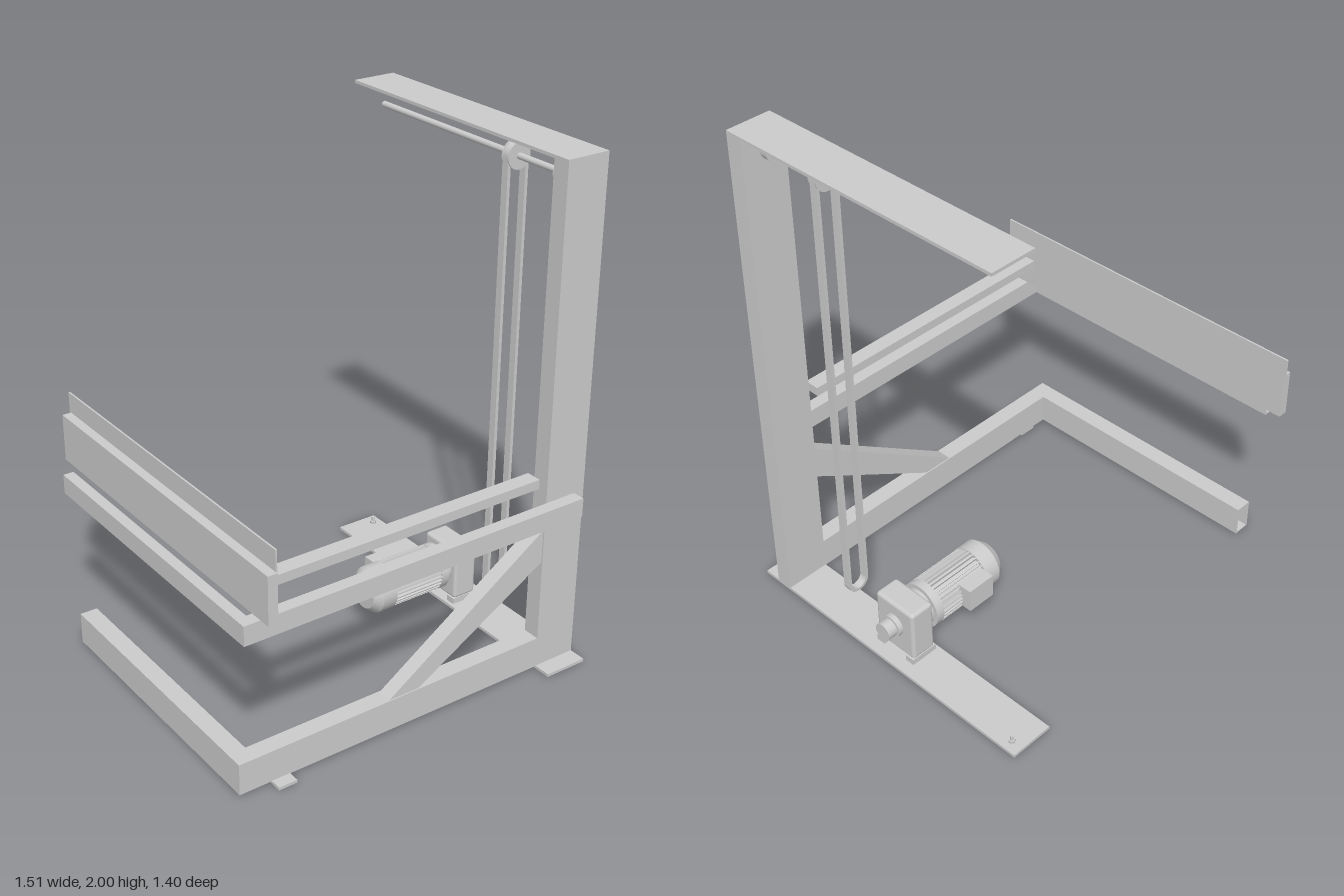
import * as THREE from 'three';
import { RoundedBoxGeometry } from 'three/addons/geometries/RoundedBoxGeometry.js';

export function createModel() {
  const model = new THREE.Group();
  const mat = new THREE.MeshStandardMaterial({ color: 0xcccccc });

  function add(name, geo, parent = model) {
    const m = new THREE.Mesh(geo, mat);
    m.name = name;
    parent.add(m);
    return m;
  }
  // box given by its limits on each axis
  function box(name, [x0, x1], [y0, y1], [z0, z1], parent) {
    const m = add(name, new THREE.BoxGeometry(x1 - x0, y1 - y0, z1 - z0), parent);
    m.position.set((x0 + x1) / 2, (y0 + y1) / 2, (z0 + z1) / 2);
    return m;
  }
  // rectangular hollow section running along z, open at its ends
  function hollowBeam(name, [x0, x1], [y0, y1], [z0, z1], t) {
    const rect = (C, i) => new C([
      new THREE.Vector2(x0 + i, y0 + i), new THREE.Vector2(x1 - i, y0 + i),
      new THREE.Vector2(x1 - i, y1 - i), new THREE.Vector2(x0 + i, y1 - i)]);
    const s = rect(THREE.Shape, 0);
    s.holes.push(rect(THREE.Path, t));
    const m = add(name, new THREE.ExtrudeGeometry(s, { depth: z1 - z0, bevelEnabled: false }));
    m.position.z = z0;
    return m;
  }
  // cylinder along x or z between two limits
  function rod(name, axis, r, a, b, [u, v], parent, sides = 32) {
    const g = new THREE.CylinderGeometry(r, r, b - a, sides);
    if (axis === 'x') g.rotateZ(Math.PI / 2); else g.rotateX(Math.PI / 2);
    const m = add(name, g, parent), c = (a + b) / 2;
    if (axis === 'x') m.position.set(c, u, v); else m.position.set(u, v, c);
    return m;
  }

  // column with base and top plates
  box('column', [0.57, 0.75], [0.012, 1.99], [0.53, 0.6]);
  box('basePlate', [0.57, 0.75], [0, 0.012], [-0.67, 0.67]);
  box('topPlate', [0.57, 0.75], [1.988, 2], [-0.59, 0.6]);
  const bolt = add('anchorBolt', new THREE.CylinderGeometry(0.006, 0.006, 0.03, 12));
  bolt.position.set(0.71, 0.026, -0.62);
  const nut = add('anchorNut', new THREE.CylinderGeometry(0.013, 0.013, 0.01, 6));
  nut.position.set(0.71, 0.017, -0.62);

  // lower frame
  box('lowerFrontBeam', [-0.755, 0.57], [0.01, 0.135], [0.53, 0.6]);
  hollowBeam('lowerSideBeam', [-0.755, -0.685], [0.01, 0.135], [-0.53, 0.53], 0.006);
  box('foot', [-0.625, -0.55], [0, 0.012], [0.53, 0.645]);

  // diagonal brace
  const braceShape = new THREE.Shape([[-0.12, 0.135], [0.01, 0.135], [0.57, 0.465], [0.57, 0.6]]
    .map(p => new THREE.Vector2(...p)));
  add('brace', new THREE.ExtrudeGeometry(braceShape, { depth: 0.06, bevelEnabled: false })).position.z = 0.535;

  // upper frame, rail and side panel
  box('upperFrontBeam', [-0.755, 0.705], [0.638, 0.715], [0.6, 0.65]);
  hollowBeam('upperSideBeam', [-0.755, -0.713], [0.638, 0.715], [-0.59, 0.6], 0.005);
  box('rail', [-0.655, 0.51], [0.803, 0.84], [0.56, 0.622]);
  box('sidePanel', [-0.693, -0.655], [0.718, 0.905], [-0.69, 0.7]);
  box('panelLip', [-0.657, -0.65], [0.9, 0.985], [-0.7, 0.69]);

  // overhead shaft, bearing and pulley
  const shaftX = 0.635, shaftY = 1.92;
  rod('shaft', 'z', 0.012, -0.49, 0.53, [shaftX, shaftY]);
  rod('bearingFlange', 'z', 0.042, 0.5, 0.53, [shaftX, shaftY]);
  rod('bearingHub', 'z', 0.022, 0.485, 0.5, [shaftX, shaftY]);
  rod('pulley', 'z', 0.039, 0.252, 0.28, [shaftX, shaftY]);
  for (const z of [0.248, 0.28]) rod('pulleyRim', 'z', 0.05, z, z + 0.005, [shaftX, shaftY]);

  // endless belt
  const lowY = 0.155;
  const loop = (C, r) => {
    const s = new C();
    s.absarc(shaftX, shaftY, r, 0, Math.PI, false);
    s.absarc(shaftX, lowY, r, Math.PI, 2 * Math.PI, false);
    s.closePath();
    return s;
  };
  const beltShape = loop(THREE.Shape, 0.047);
  beltShape.holes.push(loop(THREE.Path, 0.034));
  add('belt', new THREE.ExtrudeGeometry(beltShape, { depth: 0.03, bevelEnabled: false, curveSegments: 20 })).position.z = 0.251;

  // gear motor
  const motor = new THREE.Group();
  motor.name = 'gearMotor';
  model.add(motor);
  const axis = [0.155, -0.01];
  const gearbox = add('gearbox', new RoundedBoxGeometry(0.105, 0.222, 0.195, 3, 0.014), motor);
  gearbox.position.set(0.642, 0.143, -0.01);
  for (const z of [-0.108, 0.048]) box('gearboxFoot', [0.585, 0.7], [0.012, 0.036], [z, z + 0.04], motor);
  rod('outputHub', 'x', 0.046, 0.69, 0.715, axis, motor);
  rod('outputShaft', 'x', 0.036, 0.7, 0.755, axis, motor);
  rod('motorFlange', 'x', 0.093, 0.53, 0.565, axis, motor);
  rod('motorNeck', 'x', 0.075, 0.56, 0.6, axis, motor);
  rod('motorCore', 'x', 0.08, 0.29, 0.54, axis, motor);
  const fins = 32;
  for (let i = 0; i < fins; i++) {
    const a = (i / fins) * Math.PI * 2;
    const f = add('coolingFin', new THREE.BoxGeometry(0.235, 0.018, 0.006), motor);
    f.position.set(0.415, axis[0] + 0.084 * Math.cos(a), axis[1] + 0.084 * Math.sin(a));
    f.rotation.x = a;
  }
  // fan cover with chamfered end
  const cover = new THREE.LatheGeometry([[0, 0.207], [0.068, 0.207], [0.068, 0.207], [0.095, 0.24],
    [0.095, 0.24], [0.095, 0.305], [0.095, 0.305], [0.078, 0.305]]
    .map(([r, y]) => new THREE.Vector2(r, y)), 40);
  cover.rotateZ(-Math.PI / 2);
  add('fanCover', cover, motor).position.set(0, ...axis);
  box('terminalBox', [0.312, 0.432], [0.118, 0.215], [-0.14, -0.08], motor);

  return model;
}
